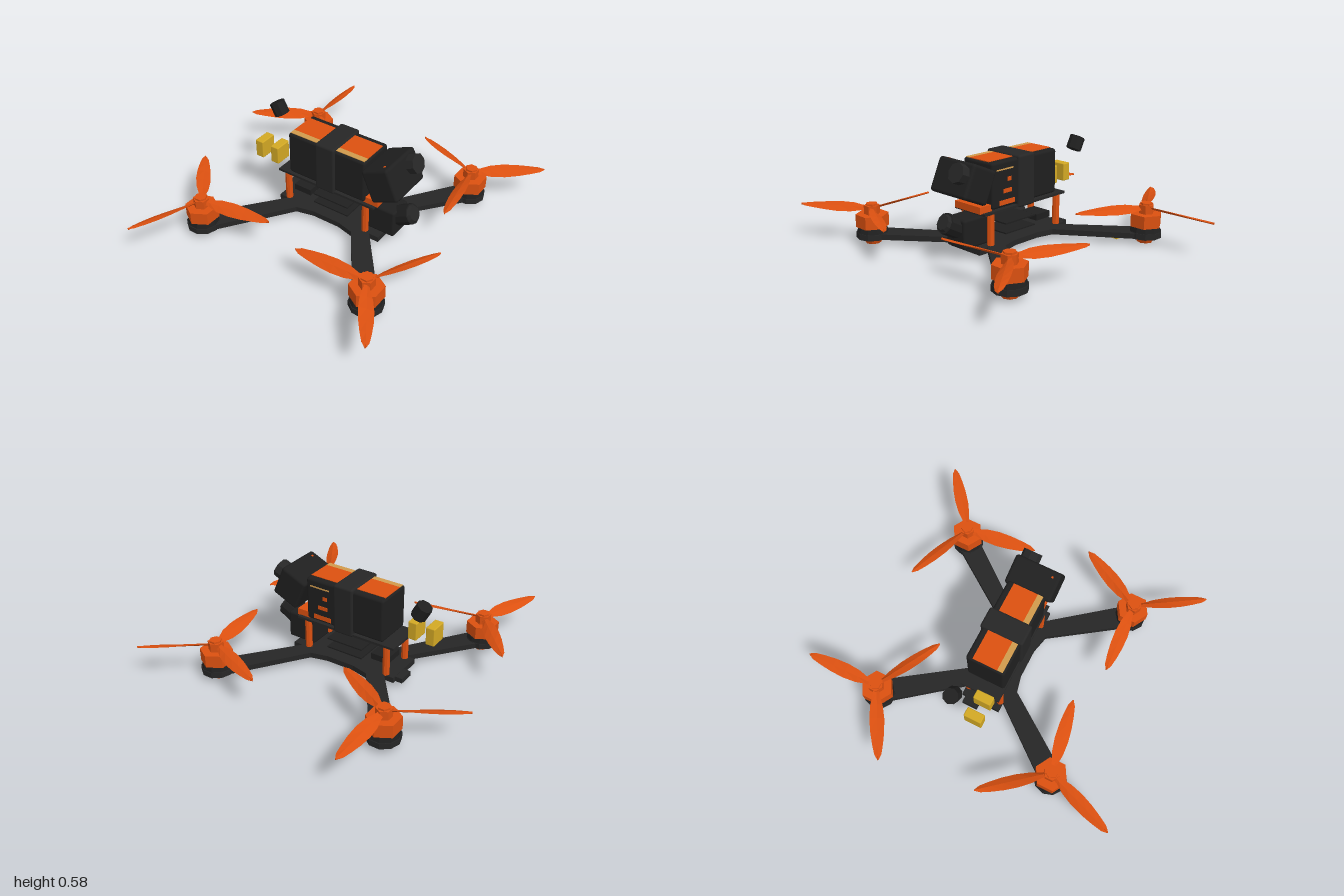
import * as THREE from 'three';
import { RoundedBoxGeometry } from 'three/addons/geometries/RoundedBoxGeometry.js';

const mat = (name, color) => {
  const m = new THREE.MeshStandardMaterial({ color });
  m.name = name;
  return m;
};

export function createModel() {
  const orange = mat('orange', 0xdb5010);
  const carbon = mat('carbon black', 0x262626);
  const plastic = mat('plastic black', 0x1f1f1f);
  const gold = mat('connector gold', 0xd2a824);
  const tan = mat('label tan', 0xd09a4c);

  const model = new THREE.Group();
  model.name = 'quadcopter';
  const body = new THREE.Group();
  body.name = 'body';
  body.position.set(-0.017, 0, 0.013);
  model.add(body);

  // Helpers: faceted geometry, placed mesh, box, rounded box, cylinder
  const flat = (g) => {
    const n = g.index ? g.toNonIndexed() : g;
    n.computeVertexNormals();
    return n;
  };
  const add = (name, geo, material, pos = [0, 0, 0], parent = body) => {
    const m = new THREE.Mesh(geo, material);
    m.name = name;
    m.position.set(...pos);
    parent.add(m);
    return m;
  };
  const box = (name, size, pos, material, parent) =>
    add(name, new THREE.BoxGeometry(...size), material, pos, parent);
  const rounded = (name, size, r, pos, material, parent) =>
    add(name, new RoundedBoxGeometry(...size, 2, r), material, pos, parent);
  const cyl = (name, rTop, rBottom, h, sides, pos, material, parent) =>
    add(name, flat(new THREE.CylinderGeometry(rTop, rBottom, h, sides)), material, pos, parent);

  // X-shaped bottom frame, one quarter mirrored four times
  const quarter = [[0.12, 0.35], [0.12, 0.29], [0.51, 0.6], [0.6, 0.5], [0.165, 0.195], [0.14, 0.09]];
  const outline = [];
  for (const [sx, sz] of [[1, 1], [1, -1], [-1, -1], [-1, 1]]) {
    const pts = quarter.map(([x, z]) => new THREE.Vector2(x * sx, z * sz));
    outline.push(...(sx * sz > 0 ? pts : pts.reverse()));
  }
  const frame = new THREE.ExtrudeGeometry(new THREE.Shape(outline), { depth: 0.033, bevelEnabled: false });
  frame.rotateX(Math.PI / 2);
  add('bottomFrame', frame, carbon, [0, 0.068, 0]);
  box('rearTab', [0.095, 0.03, 0.06], [0.05, 0.051, -0.365], carbon);

  // Propeller blade: diamond cross-sections along x, tilted less towards the tip
  const bladeGeometry = (tilt) => {
    const ribs = [[0.02, 0.035, 0.6], [0.06, 0.042, 0.58], [0.12, 0.075, 0.5], [0.2, 0.088, 0.42],
      [0.28, 0.08, 0.34], [0.35, 0.062, 0.28], [0.41, 0.04, 0.24], [0.442, 0.006, 0.22]];
    const v = [], idx = [];
    ribs.forEach(([x, w, angle], i) => {
      const s = tilt * Math.sin(angle), c = Math.cos(angle), t = 0.006, h = w / 2;
      v.push(x, c * t, s * t, x, -s * h, c * h, x, -c * t, -s * t, x, s * h, -c * h);
      if (i === 0) return;
      for (let k = 0; k < 4; k++) {
        const a = 4 * (i - 1) + k, b = 4 * (i - 1) + (k + 1) % 4;
        idx.push(a, b, b + 4, a, b + 4, a + 4);
      }
    });
    const e = 4 * (ribs.length - 1);
    idx.push(e, e + 1, e + 2, e, e + 2, e + 3);
    const g = new THREE.BufferGeometry();
    g.setAttribute('position', new THREE.Float32BufferAttribute(v, 3));
    g.setIndex(idx);
    return flat(g);
  };

  // Four motors with three-bladed propellers: side x, side z, blade angle, tilt
  const motors = [[1, -1, -1.6, -1], [-1, -1, 80.5, 1], [-1, 1, 27.6, -1], [1, 1, 52, 1]];
  for (const [sx, sz, degrees, tilt] of motors) {
    const motor = new THREE.Group();
    motor.name = 'motor';
    motor.position.set(0.565 * sx, 0, 0.565 * sz);
    body.add(motor);
    cyl('motorPad', 0.096, 0.096, 0.035, 10, [0, 0.052, 0], carbon, motor);
    cyl('motorBase', 0.08, 0.092, 0.034, 10, [0, 0.086, 0], plastic, motor);
    const bell = cyl('motorBell', 0.096, 0.096, 0.076, 6, [0, 0.138, 0], orange, motor);
    bell.rotation.y = Math.PI / 6;
    cyl('bottomNut', 0.062, 0.045, 0.035, 8, [0, 0.0175, 0], orange, motor);
    cyl('propHub', 0.046, 0.046, 0.055, 6, [0, 0.2, 0], orange, motor).rotation.y = Math.PI / 6;
    cyl('propNut', 0.036, 0.036, 0.014, 6, [0, 0.231, 0], orange, motor);
    const blade = bladeGeometry(tilt);
    for (let i = 0; i < 3; i++) {
      add('propellerBlade', blade, orange, [0, 0.207, 0], motor).rotation.y =
        -THREE.MathUtils.degToRad(degrees + 120 * i);
    }
    // Small light under each arm
    box('armLight', [0.045, 0.014, 0.045], [0.445 * sx, 0.029, 0.445 * sz], sx * sz > 0 ? orange : gold);
  }

  // Top plate on standoffs
  box('topPlate', [0.245, 0.014, 0.66], [0, 0.256, -0.018], carbon);
  for (const sx of [-1, 1]) {
    for (const z of [0.25, -0.292]) {
      cyl('standoff', 0.021, 0.021, 0.185, 8, [0.103 * sx, 0.158, z], orange);
    }
  }

  // Electronics stack and receiver
  for (const y of [0.1, 0.158]) box('circuitBoard', [0.19, 0.008, 0.24], [0, y, 0.002], plastic);
  box('receiver', [0.13, 0.038, 0.115], [0, 0.123, -0.222], plastic);

  // Battery with label plates and side markings
  rounded('battery', [0.236, 0.266, 0.52], 0.016, [0, 0.403, -0.013], plastic);
  box('labelEdge', [0.034, 0.006, 0.5], [-0.088, 0.536, -0.013], tan);
  box('label', [0.15, 0.006, 0.5], [0.004, 0.536, -0.013], orange);
  const marks = [[0.13, 0.008, 0.49, 0.165, tan], [0.03, 0.024, 0.43, 0.13, orange],
    [0.065, 0.024, 0.365, 0.145, orange], [0.12, 0.028, 0.3, 0.15, orange]];
  for (const [length, height, y, z, m] of marks) {
    box('sideMarking', [0.005, height, length], [0.118, y, z - 0.013], m);
  }
  rounded('batteryStrap', [0.262, 0.305, 0.13], 0.014, [0, 0.397, -0.013], carbon);

  // Action camera tilted upwards on its mount
  box('cameraMount', [0.205, 0.04, 0.09], [0, 0.281, 0.282], orange);
  const camera = new THREE.Group();
  camera.name = 'actionCamera';
  camera.position.set(0, 0.44, 0.357);
  camera.rotation.x = -0.42;
  body.add(camera);
  rounded('cameraCase', [0.288, 0.2, 0.178], 0.018, [0, 0, 0], plastic, camera);
  cyl('cameraLens', 0.058, 0.058, 0.05, 8, [0.072, 0.026, 0.112], carbon, camera).rotation.x = Math.PI / 2;
  box('recordLight', [0.012, 0.005, 0.012], [-0.1, 0.1, 0.05], orange, camera);

  // Flight camera low at the nose
  rounded('flightCameraBody', [0.15, 0.17, 0.19], 0.015, [0, 0.155, 0.325], plastic);
  const lens = new THREE.Group();
  lens.name = 'flightCameraLens';
  lens.position.set(0, 0.205, 0.45);
  lens.rotation.x = Math.PI / 2 - 0.5;
  body.add(lens);
  cyl('lensBarrel', 0.06, 0.06, 0.1, 10, [0, 0, 0], plastic, lens);
  cyl('lensRim', 0.042, 0.055, 0.02, 10, [0, 0.056, 0], carbon, lens);

  // Power connectors and antenna cap behind the battery
  for (const z of [-0.392, -0.505]) rounded('powerConnector', [0.107, 0.11, 0.055], 0.006, [-0.053, 0.33, z], gold);
  const cap = cyl('antennaCap', 0.046, 0.046, 0.08, 8, [0.08, 0.527, -0.49], plastic);
  cap.rotation.x = -0.5;

  return model;
}
